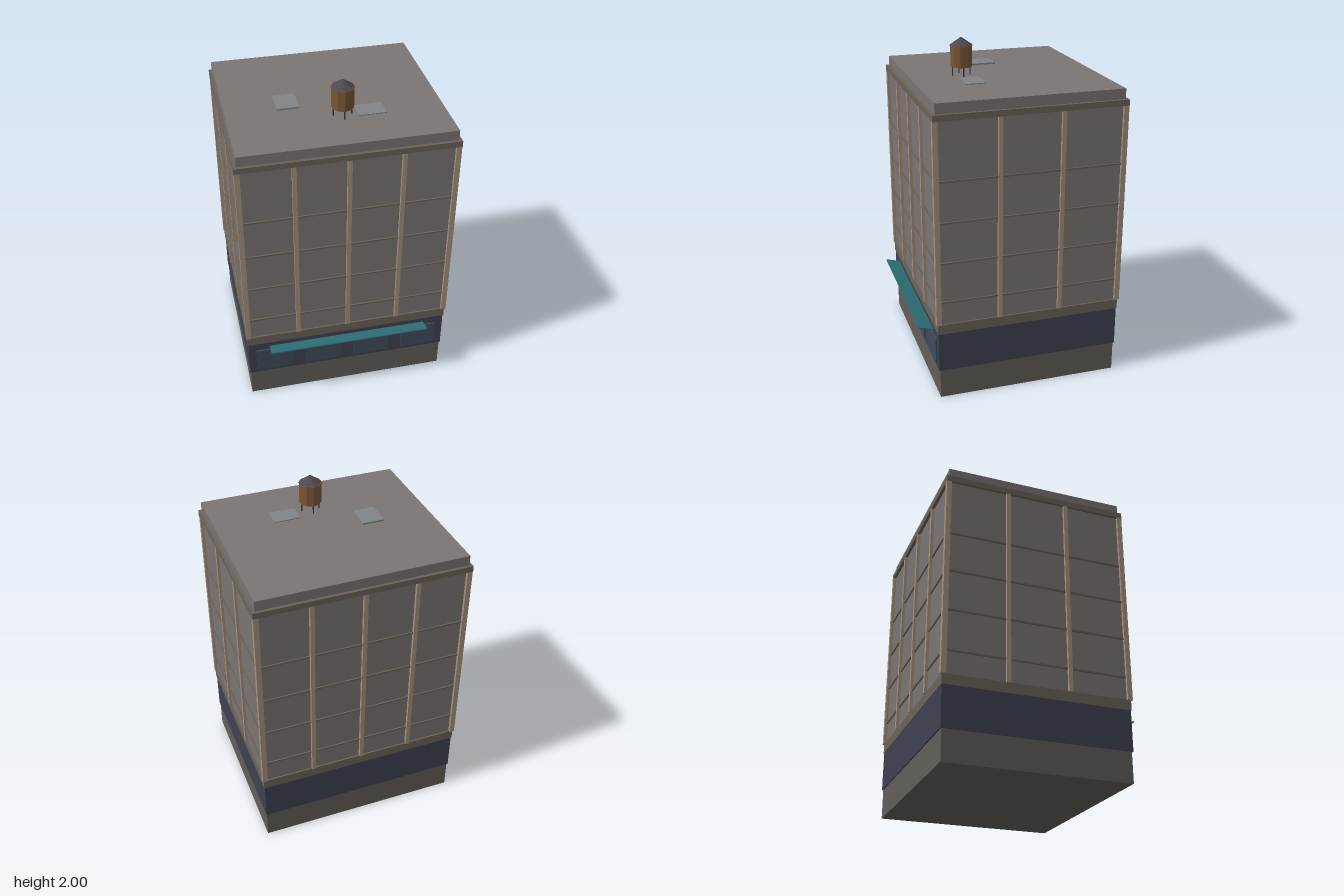
import * as THREE from 'three';

const CZ = -0.041; // depth centre of the tower

const paint = (color, opts = {}) => new THREE.MeshStandardMaterial({ color, ...opts });
const stone = paint(0x625e58), wall = paint(0x7b7574), navy = paint(0x3e4250);
const trim = paint(0x6b6358), pier = paint(0xa4927d), glass = paint(0x3f4d5c);
const teal = paint(0x2f6f78, { side: THREE.DoubleSide }), hatch = paint(0x808588);
const wood = paint(0x7a5636, { flatShading: true }), slate = paint(0x4c4a50, { flatShading: true });
const iron = paint(0x3a3633);

function add(parent, name, geometry, material, x, y, z) {
  const mesh = new THREE.Mesh(geometry, material);
  mesh.name = name;
  mesh.position.set(x, y, z);
  parent.add(mesh);
  return mesh;
}

// Box given by its size, centre in plan, and bottom and top heights
function block(parent, name, material, w, d, y0, y1, x = 0, z = CZ) {
  return add(parent, name, new THREE.BoxGeometry(w, y1 - y0, d), material, x, (y0 + y1) / 2, z);
}

function createWaterTank() {
  const tank = new THREE.Group();
  tank.name = 'waterTank';
  for (let i = 0; i < 4; i++) {
    const a = i * Math.PI / 2;
    add(tank, 'tankLeg', new THREE.CylinderGeometry(0.004, 0.004, 0.06, 6), iron,
      0.053 * Math.cos(a), 0.03, 0.053 * Math.sin(a));
  }
  add(tank, 'tankBarrel', new THREE.CylinderGeometry(0.065, 0.065, 0.127, 10), wood, 0, 0.1165, 0);
  add(tank, 'tankRoof', new THREE.CylinderGeometry(0.006, 0.069, 0.045, 10), slate, 0, 0.1975, 0);
  return tank;
}

export function createModel() {
  const building = new THREE.Group();
  building.name = 'building';

  // Stacked masses from street to roof
  block(building, 'base', stone, 1.226, 1.09, 0, 0.18);
  block(building, 'shopFloor', navy, 1.236, 1.104, 0.18, 0.42);
  block(building, 'beltCourse', trim, 1.244, 1.11, 0.42, 0.48);
  block(building, 'towerWall', wall, 1.226, 1.09, 0.48, 1.685);
  block(building, 'cornice', trim, 1.262, 1.126, 1.685, 1.72);
  block(building, 'parapet', wall, 1.228, 1.09, 1.72, 1.78);

  // Piers on front and back, then the inner piers of both sides
  for (const s of [-1, 1]) {
    for (let i = 0; i < 5; i++) {
      const corner = i === 0 || i === 4;
      block(building, 'pier', pier, corner ? 0.03 : 0.025, 0.03, 0.48, 1.685,
        (i - 2) * 0.307, CZ + s * 0.548);
    }
    for (let i = 1; i < 3; i++) {
      block(building, 'sidePier', pier, 0.03, 0.025, 0.48, 1.685, s * 0.614, 0.51 - i * 0.366);
    }
  }

  // Floor lines round the tower
  for (let i = 0; i < 4; i++) {
    const y = 0.618 + i * 0.2415;
    block(building, 'floorLine', trim, 1.242, 1.106, y - 0.005, y + 0.005);
  }

  // Shop windows and the tilted awning above them
  for (let i = 0; i < 4; i++) {
    block(building, 'shopWindow', glass, 0.222, 0.012, 0.207, 0.365, (i - 1.5) * 0.307, 0.513);
  }
  const awning = add(building, 'awning', new THREE.BoxGeometry(0.98, 0.006, 0.094), teal, 0, 0.398, 0.555);
  awning.rotation.x = -0.27;

  // Roof hatches and water tank
  block(building, 'roofHatch', hatch, 0.13, 0.156, 1.775, 1.79, -0.257, 0.001);
  block(building, 'roofHatch', hatch, 0.16, 0.115, 1.775, 1.785, 0.196, 0.178);
  const tank = createWaterTank();
  tank.position.set(0.03, 1.78, 0.198);
  building.add(tank);

  return building;
}
